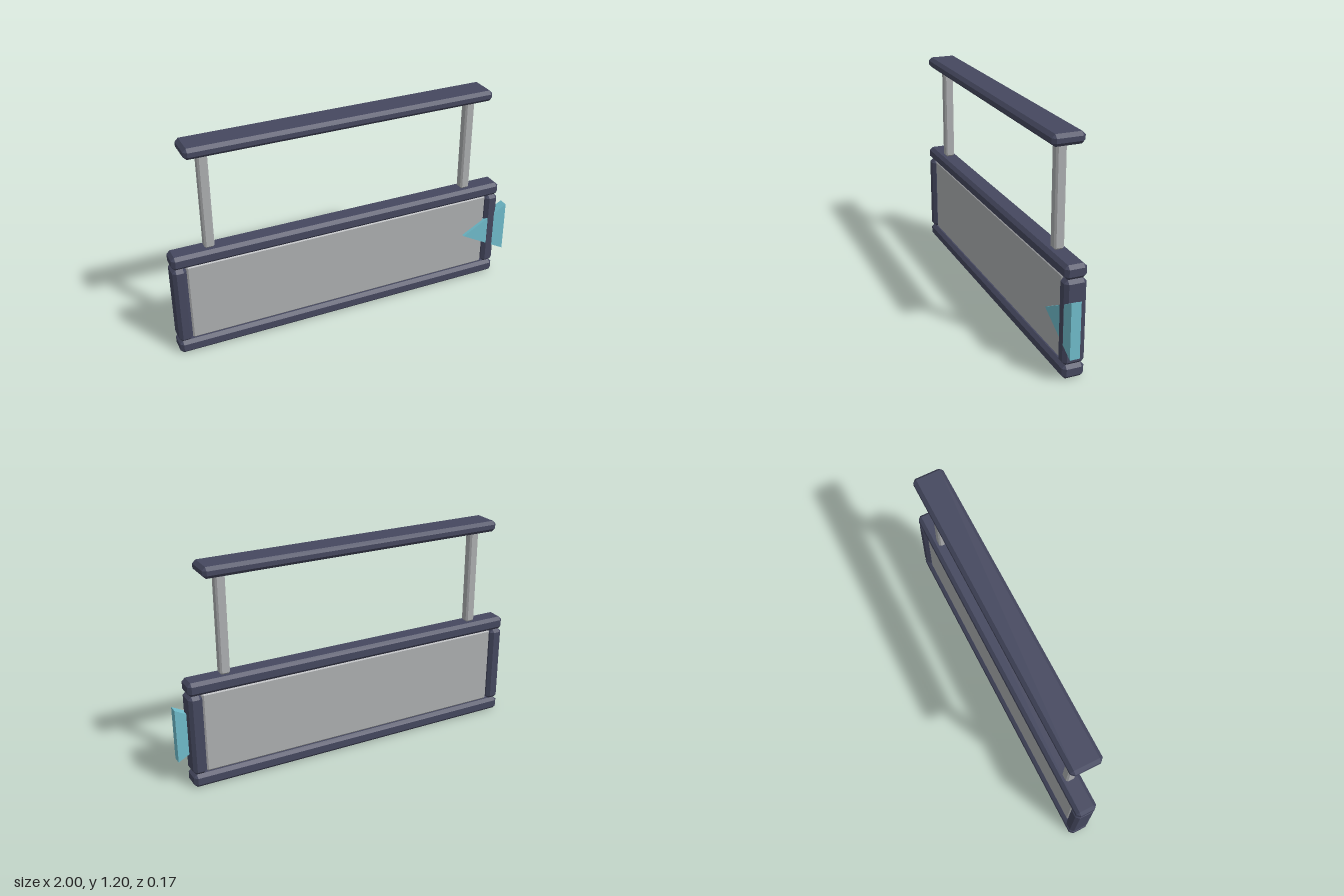
import * as THREE from 'three';
import { ConvexGeometry } from 'three/addons/geometries/ConvexGeometry.js';

const material = (name, color) => {
  const m = new THREE.MeshStandardMaterial({ color });
  m.name = name;
  return m;
};

// Box with every edge chamfered by b
function chamferBox(w, h, d, b) {
  const points = [];
  for (const sx of [-1, 1]) for (const sy of [-1, 1]) for (const sz of [-1, 1]) {
    const x = w / 2, y = h / 2, z = d / 2;
    points.push(
      new THREE.Vector3(sx * x, sy * (y - b), sz * (z - b)),
      new THREE.Vector3(sx * (x - b), sy * y, sz * (z - b)),
      new THREE.Vector3(sx * (x - b), sy * (y - b), sz * z));
  }
  return new ConvexGeometry(points);
}

export function createModel() {
  const model = new THREE.Group();
  model.name = 'framedPanelWithHandle';
  const navy = material('navy', 0x45485f);
  const grey = material('grey', 0xacaeb0);
  const teal = material('teal', 0x70bccb);
  const centre = -0.03;

  const add = (name, geometry, mat, x, y, z = 0) => {
    const mesh = new THREE.Mesh(geometry, mat);
    mesh.name = name;
    mesh.position.set(x, y, z);
    model.add(mesh);
  };

  // Frame rails
  const rail = chamferBox(1.94, 0.075, 0.116, 0.018);
  add('bottomRail', rail, navy, centre, 0.0375);
  add('topRail', rail, navy, centre, 0.5625);

  // Frame stiles and handle posts, mirrored about the frame centre
  const stile = chamferBox(0.075, 0.45, 0.116, 0.018);
  const post = chamferBox(0.054, 0.54, 0.054, 0.009);
  for (const [side, s] of [['left', 1], ['right', -1]]) {
    add(side + 'Stile', stile, navy, centre + s * 0.9325, 0.3);
    add(side + 'Post', post, grey, centre + s * 0.757, 0.87);
  }

  // Infill panel and top handle
  add('panel', chamferBox(1.79, 0.45, 0.08, 0.01), grey, centre, 0.3);
  add('handleBar', chamferBox(1.725, 0.06, 0.17, 0.018), navy, centre, 1.17);

  // Triangular pointer through the left stile
  const triangle = new THREE.Shape([
    new THREE.Vector2(0.725, 0.295),
    new THREE.Vector2(1, 0.145),
    new THREE.Vector2(1, 0.445),
  ]);
  const pointer = new THREE.ExtrudeGeometry(triangle, { depth: 0.052, bevelEnabled: false });
  add('pointer', pointer, teal, 0, 0, 0.005);

  return model;
}
